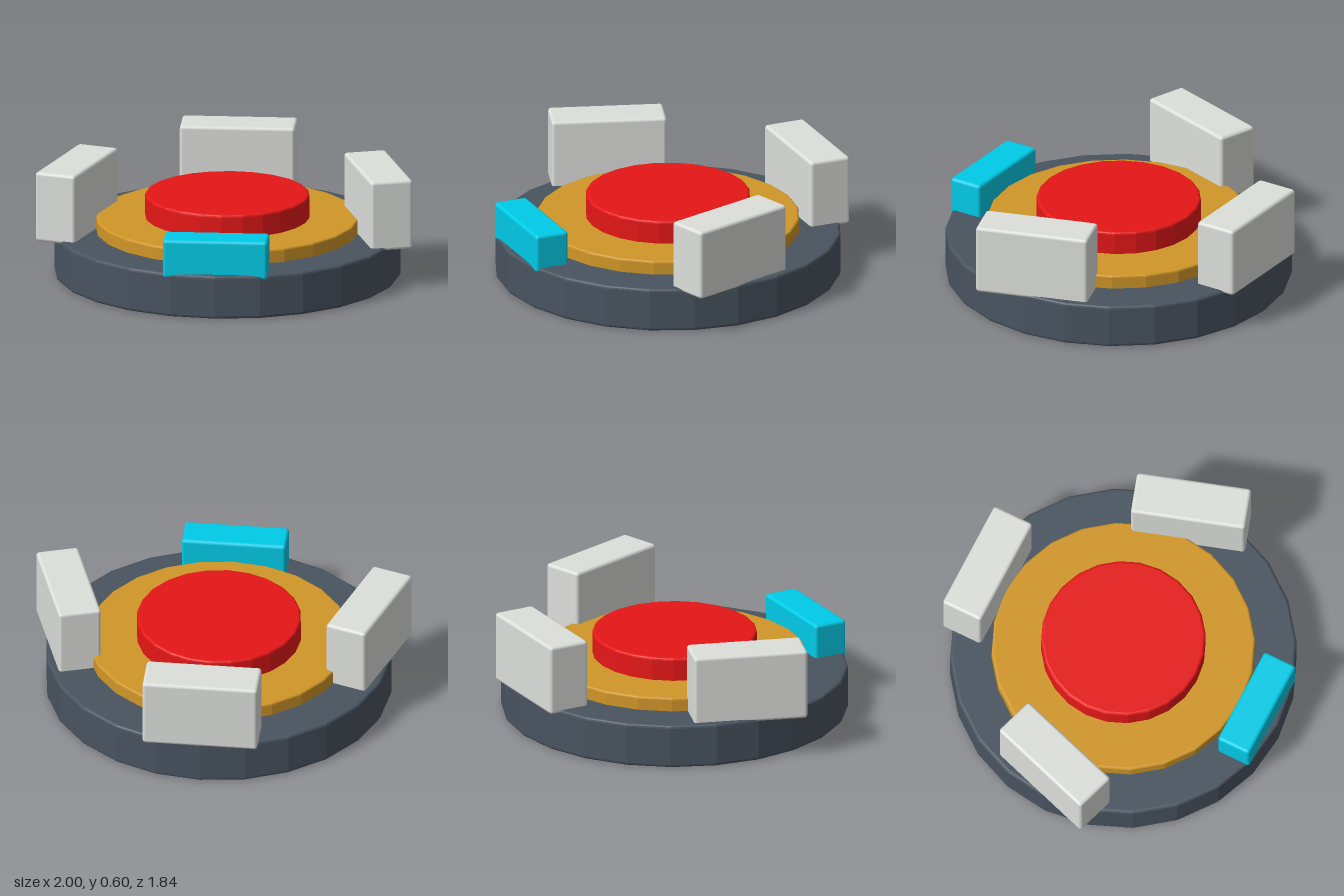
import * as THREE from 'three';
import { RoundedBoxGeometry } from 'three/addons/geometries/RoundedBoxGeometry.js';

const paint = (name, color) => Object.assign(new THREE.MeshStandardMaterial({ color }), { name });

// Faceted 24-sided disc with rounded rims, from y0 to y1
function disc(name, radius, y0, y1, bevel, material) {
  const profile = [new THREE.Vector2(0, y0)];
  for (const [cy, start] of [[y0 + bevel, -Math.PI / 2], [y1 - bevel, 0]]) {
    for (let i = 0; i <= 3; i++) {
      const a = start + (i * Math.PI) / 6;
      profile.push(new THREE.Vector2(radius - bevel + bevel * Math.cos(a), cy + bevel * Math.sin(a)));
    }
  }
  profile.push(new THREE.Vector2(0, y1));
  const geometry = new THREE.LatheGeometry(profile, 24).toNonIndexed();
  geometry.computeVertexNormals();
  const mesh = new THREE.Mesh(geometry, material);
  mesh.name = name;
  return mesh;
}

// Soft-edged block standing on the base
function block(name, [w, h, d], [x, y, z], turn, material) {
  const mesh = new THREE.Mesh(new RoundedBoxGeometry(w, h, d, 2, 0.018), material);
  mesh.name = name;
  mesh.position.set(x, y, z);
  mesh.rotation.y = turn;
  return mesh;
}

export function createModel() {
  const slate = paint('slate', 0x495460);
  const gold = paint('gold', 0xd09628);
  const red = paint('red', 0xe61717);
  const grey = paint('light grey', 0xdddfdb);
  const cyan = paint('cyan', 0x00cce8);

  const model = new THREE.Group();
  model.name = 'roundPad';

  // Stacked discs
  model.add(
    disc('base', 0.918, 0, 0.236, 0.016, slate),
    disc('ring', 0.698, 0.2, 0.31, 0.012, gold),
    disc('button', 0.436, 0.28, 0.435, 0.014, red),
  );

  // Three guard blocks: one behind, two flaring outward towards the front
  const guard = [0.612, 0.38, 0.228];
  model.add(block('backGuard', guard, [0, 0.409, -0.805], 0, grey));
  for (const side of [1, -1]) {
    const name = side > 0 ? 'leftGuard' : 'rightGuard';
    model.add(block(name, guard, [side * 0.8, 0.409, -0.003], -side * THREE.MathUtils.degToRad(72), grey));
  }

  // Low front block
  model.add(block('frontBlock', [0.555, 0.21, 0.187], [0, 0.314, 0.791], 0, cyan));

  return model;
}
